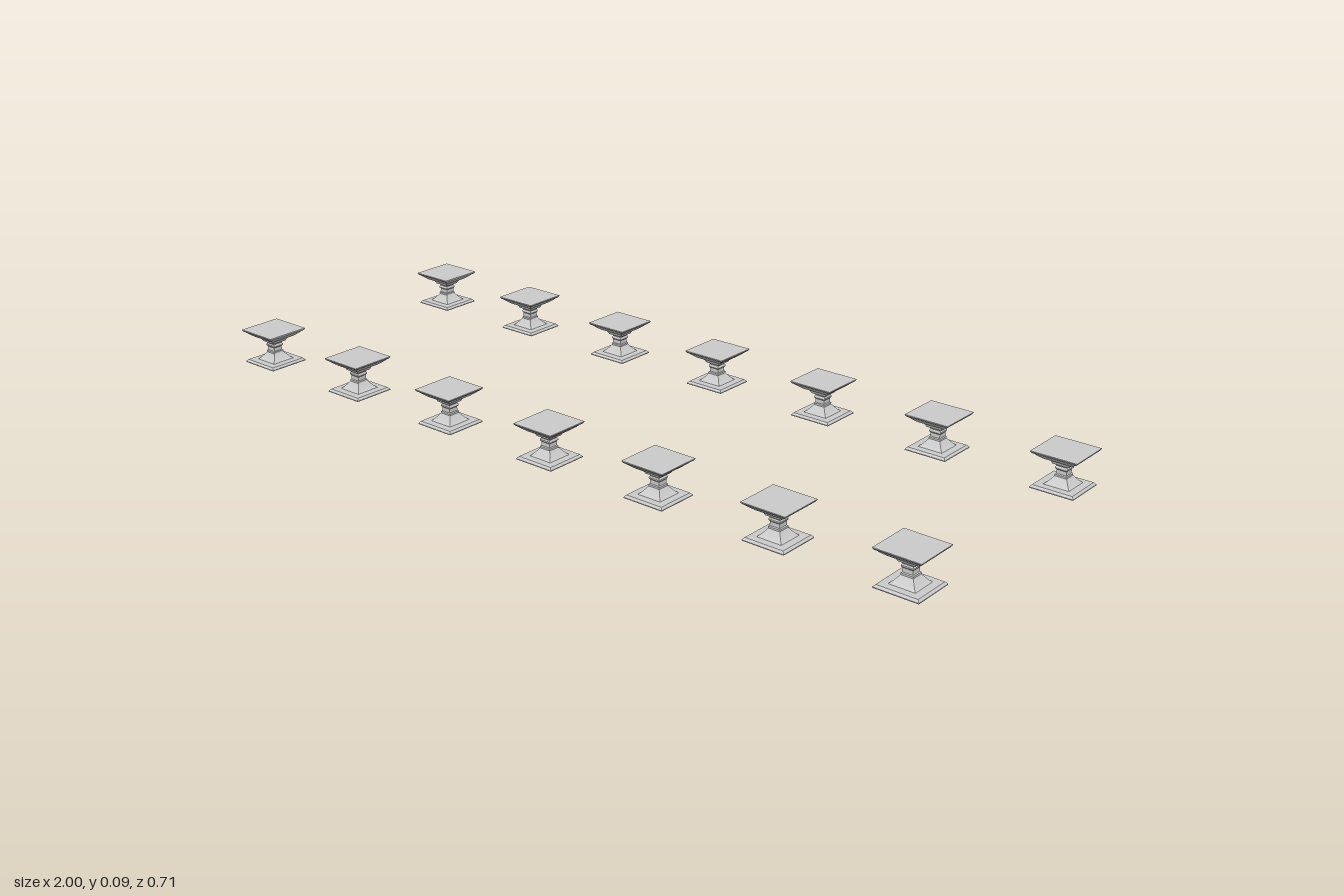
import * as THREE from 'three';

const material = new THREE.MeshStandardMaterial({ color: 0xcccccc, flatShading: true });

// Square-section turning: profile of [half width, height], bottom to top
function squareTurned(profile) {
  const points = profile.map(([half, y]) => new THREE.Vector2(half * Math.SQRT2, y));
  return new THREE.LatheGeometry(points, 4, Math.PI / 4).toNonIndexed();
}

function part(name, profile) {
  const geometry = squareTurned(profile);
  geometry.computeVertexNormals();
  return { name, geometry };
}

export function createModel() {
  const group = new THREE.Group();
  group.name = 'pedestals';

  const parts = [
    // Plinth with chamfered rim and a concave flare up to the neck
    part('base', [
      [0, 0], [0.0525, 0], [0.0525, 0.002], [0.048, 0.007], [0.031, 0.0075],
      [0.025, 0.013], [0.019, 0.02], [0.0145, 0.026], [0.0145, 0.028], [0, 0.028],
    ]),
    // Slim neck with a bead in the middle
    part('neck', [
      [0.0145, 0.028], [0.0145, 0.03], [0.0125, 0.032], [0.012, 0.041],
      [0.0145, 0.044], [0.0145, 0.047], [0.0125, 0.05], [0.015, 0.055],
    ]),
    // Stepped collar and flaring bowl with a flat top
    part('top', [
      [0, 0.055], [0.0195, 0.055], [0.0215, 0.06], [0.0235, 0.062], [0.0235, 0.064],
      [0.034, 0.067], [0.042, 0.073], [0.049, 0.079], [0.0525, 0.081],
      [0.0555, 0.085], [0.0555, 0.0865], [0, 0.0865],
    ]),
  ];

  // Two rows of seven
  for (const z of [-0.302, 0.302]) {
    for (let i = -3; i <= 3; i++) {
      const pedestal = new THREE.Group();
      pedestal.name = 'pedestal';
      for (const { name, geometry } of parts) {
        const mesh = new THREE.Mesh(geometry, material);
        mesh.name = name;
        pedestal.add(mesh);
      }
      pedestal.position.set(i * 0.3148, 0, z);
      group.add(pedestal);
    }
  }
  return group;
}
